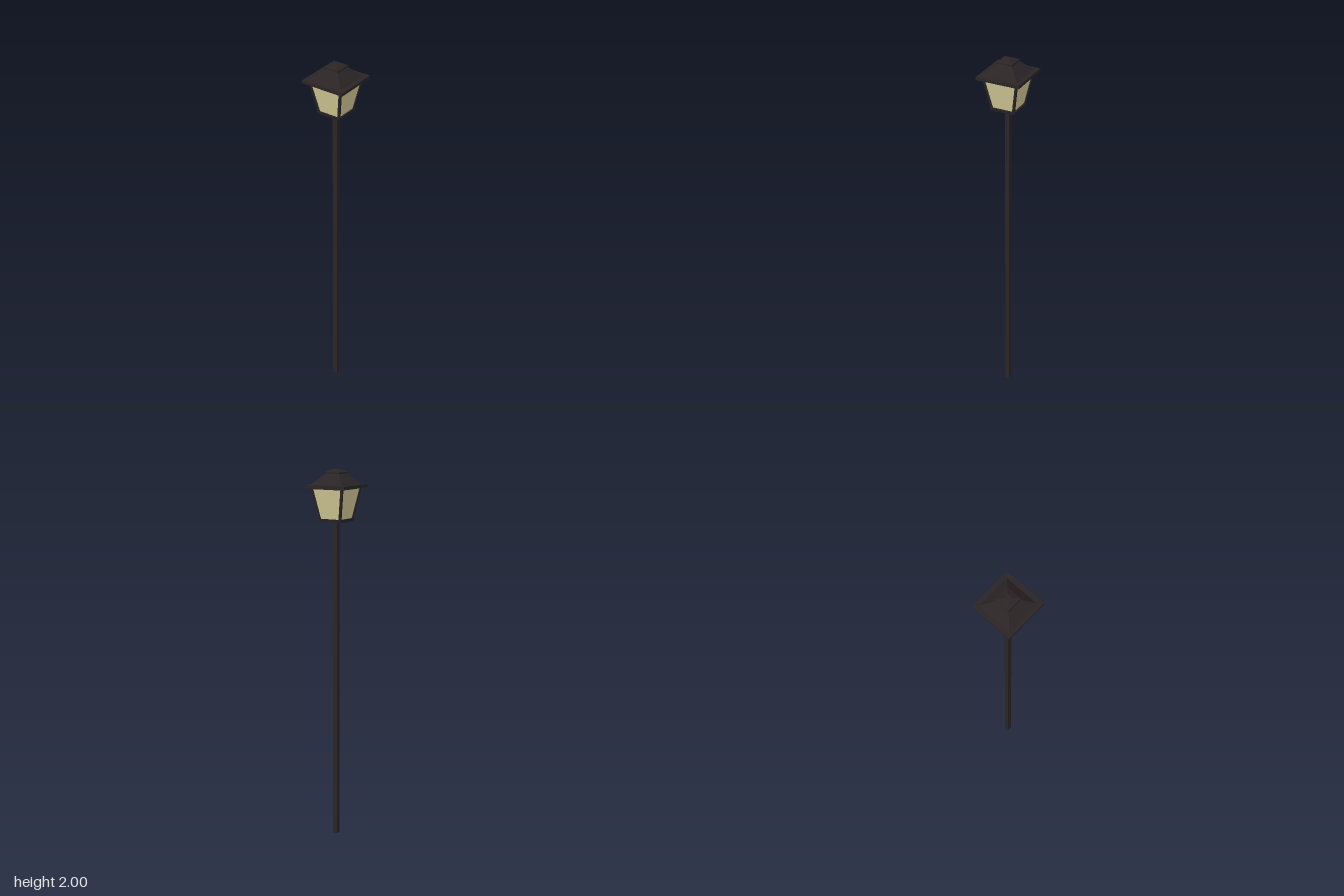
import * as THREE from 'three';

export function createModel() {
  const group = new THREE.Group();
  const iron = new THREE.MeshStandardMaterial({ color: 0x2a2425, flatShading: true });
  const glass = new THREE.MeshStandardMaterial({ color: 0xd3ca96, flatShading: true, side: THREE.DoubleSide });

  function add(name, geometry, material = iron) {
    const mesh = new THREE.Mesh(geometry, material);
    mesh.name = name;
    group.add(mesh);
    return mesh;
  }

  // Square tapered block given by half widths at its bottom and top
  function frustum(name, y0, y1, half0, half1, material = iron, open = false) {
    const g = new THREE.CylinderGeometry(half1 * Math.SQRT2, half0 * Math.SQRT2, y1 - y0, 4, 1, open);
    g.rotateY(Math.PI / 4);
    g.translate(0, (y0 + y1) / 2, 0);
    return add(name, g, material);
  }

  // Pole
  add('pole', new THREE.BoxGeometry(0.023, 1.735, 0.027).translate(0, 0.8675, 0));

  // Lantern body
  const bottom = 1.738, top = 1.908, halfBottom = 0.066, halfTop = 0.098;
  frustum('basePlate', 1.727, 1.743, 0.066, 0.07);
  frustum('glassPanes', bottom, top, halfBottom - 0.005, halfTop - 0.005, glass, true);

  // Corner posts, leaning outwards towards the roof
  const postWidth = 0.012;
  for (const sx of [-1, 1]) {
    for (const sz of [-1, 1]) {
      const g = new THREE.BoxGeometry(postWidth, top - bottom, postWidth);
      const p = g.attributes.position;
      for (let i = 0; i < p.count; i++) {
        const c = (p.getY(i) > 0 ? halfTop : halfBottom) - postWidth / 2;
        p.setX(i, p.getX(i) + sx * c);
        p.setZ(i, p.getZ(i) + sz * c);
      }
      g.translate(0, (bottom + top) / 2, 0);
      add('cornerPost', g);
    }
  }

  // Roof: top rail, brim, hipped slope and stepped cap
  frustum('topRail', 1.898, 1.908, 0.0965, 0.098);
  add('roofBrim', new THREE.BoxGeometry(0.239, 0.016, 0.242).translate(0, 1.912, 0));
  frustum('roofSlope', 1.92, 1.98, 0.097, 0.036);
  frustum('capRim', 1.977, 1.985, 0.043, 0.043);
  frustum('capTop', 1.985, 2.0, 0.043, 0.014);

  return group;
}
